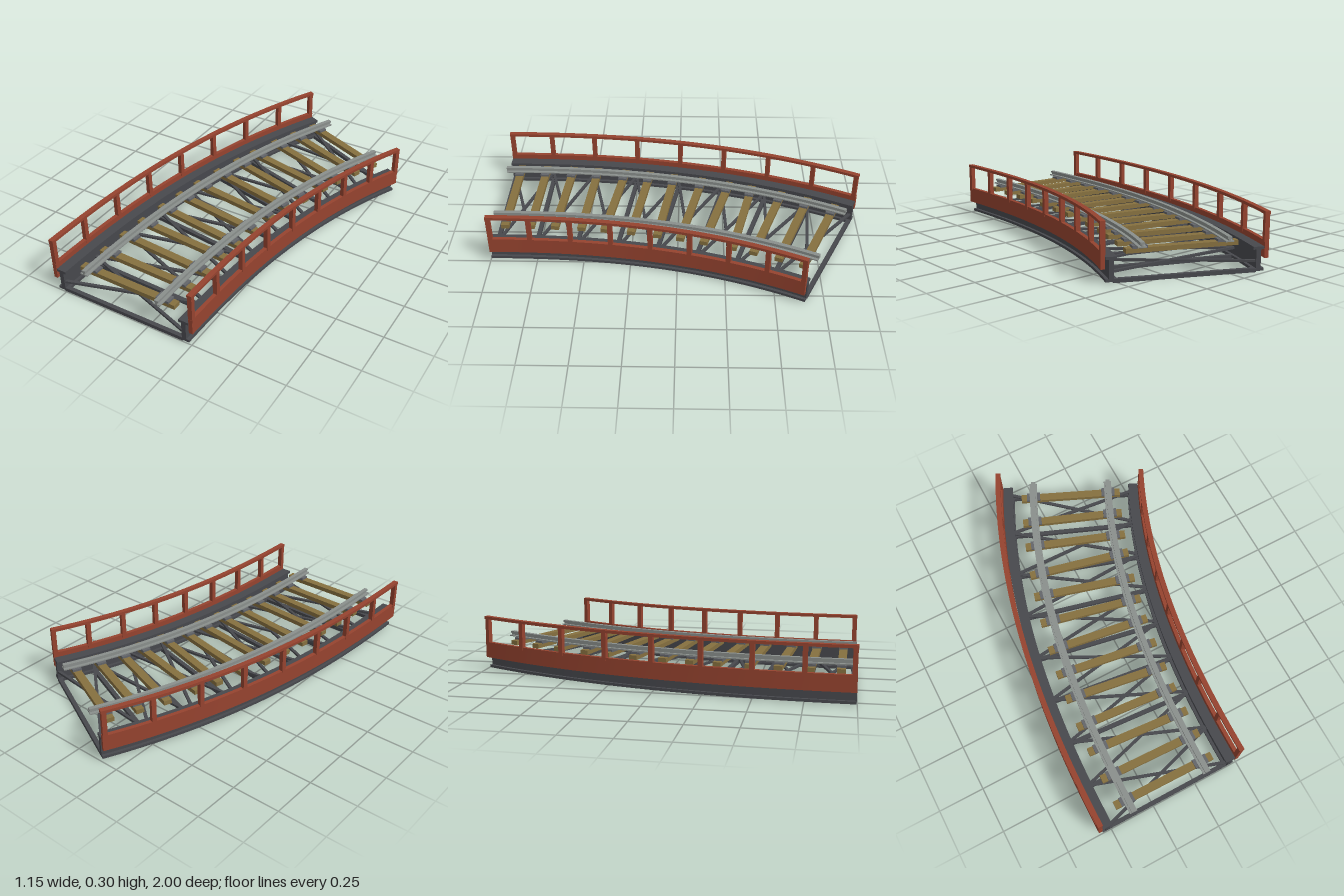
import * as THREE from 'three';
import { toCreasedNormals } from 'three/addons/utils/BufferGeometryUtils.js';

const mat = (name, color) => Object.assign(new THREE.MeshStandardMaterial({ color }), { name });

// Centre line of the track: the heading grows along the length
const LENGTH = 1.868, STEPS = 240;
const heading = s => 0.45 * Math.pow(s, 1.31);
const line = [[-0.157, 0.997]];
for (let i = 0; i < STEPS; i++) {
  const a = heading((i + 0.5) / STEPS), d = LENGTH / STEPS, [x, z] = line[i];
  line.push([x + Math.sin(a) * d, z - Math.cos(a) * d]);
}

// Point at fraction s, sideways offset u and height y
function at(s, u, y) {
  const f = s * STEPS, i = Math.min(STEPS - 1, Math.floor(f)), t = f - i, a = heading(s);
  const x = line[i][0] + (line[i + 1][0] - line[i][0]) * t;
  const z = line[i][1] + (line[i + 1][1] - line[i][1]) * t;
  return new THREE.Vector3(x + u * Math.cos(a), y, z + u * Math.sin(a));
}

// Sweeps a counter-clockwise [u, y] profile along the curve, with end caps
function sweep(profile, offset) {
  const N = 32, out = [];
  const put = (p, s) => out.push(...at(s, p[0] + offset, p[1]).toArray());
  profile.forEach((a, k) => {
    const b = profile[(k + 1) % profile.length];
    for (let i = 0; i < N; i++) {
      const s = i / N, e = (i + 1) / N;
      put(a, s); put(a, e); put(b, e);
      put(a, s); put(b, e); put(b, s);
    }
  });
  const flat = profile.map(p => new THREE.Vector2(...p));
  for (const [i, j, k] of THREE.ShapeUtils.triangulateShape(flat, [])) {
    [i, j, k].forEach(n => put(profile[n], 0));
    [i, k, j].forEach(n => put(profile[n], 1));
  }
  const g = new THREE.BufferGeometry();
  g.setAttribute('position', new THREE.Float32BufferAttribute(out, 3));
  return toCreasedNormals(g, 0.5);
}

const rect = (w, y0, y1) => [[-w / 2, y0], [w / 2, y0], [w / 2, y1], [-w / 2, y1]];

// I-shaped profile: foot, web and head
const iBeam = (foot, web, head, y0, y1, y2, y3) => [
  [-foot, y0], [foot, y0], [foot, y1], [web, y1], [web, y2], [head, y2],
  [head, y3], [-head, y3], [-head, y2], [-web, y2], [-web, y1], [-foot, y1]];

export function createModel() {
  const model = new THREE.Group();
  model.name = 'curvedRailwayBridge';
  const red = mat('redPaint', 0x96432f), iron = mat('darkIron', 0x47484d);
  const steel = mat('railSteel', 0x8a8f8c), wood = mat('timber', 0x86703f);
  const plate = mat('plateGrey', 0x63656a);

  const add = (name, geometry, material, parent = model) => {
    const m = new THREE.Mesh(geometry, material);
    m.name = name;
    parent.add(m);
    return m;
  };
  // Straight level bar between two points
  const bar = (name, p, q, w, h, material) => {
    const m = add(name, new THREE.BoxGeometry(p.distanceTo(q), h, w), material);
    m.position.copy(p).add(q).multiplyScalar(0.5);
    m.rotation.y = -Math.atan2(q.z - p.z, q.x - p.x);
  };

  const BAYS = 8;
  for (const side of [-1, 1]) {
    const label = side < 0 ? 'right' : 'left';
    // Girder, side panel, handrail and running rail
    add(label + 'Girder', sweep(iBeam(0.028, 0.012, 0.027, 0.006, 0.02, 0.112, 0.126), side * 0.362), iron);
    add(label + 'SidePanel', sweep(rect(0.021, 0.068, 0.153), side * 0.402), red);
    add(label + 'Handrail', sweep(rect(0.027, 0.281, 0.296), side * 0.402), red);
    add(label + 'Rail', sweep(iBeam(0.021, 0.005, 0.011, 0.158, 0.164, 0.174, 0.185), side * 0.214), steel);
    // Railing posts
    for (let i = 0; i <= BAYS; i++) {
      const s = THREE.MathUtils.clamp(i / BAYS, 0.007, 0.993);
      const post = add(label + 'Post', new THREE.BoxGeometry(0.024, 0.148, 0.024), red);
      post.position.copy(at(s, side * 0.402, 0.211));
      post.rotation.y = -heading(s);
    }
  }

  // Cross struts and diagonal bracing between the girders
  for (let i = 0; i <= BAYS; i++) {
    const s = THREE.MathUtils.clamp(i / BAYS, 0.006, 0.994), e = Math.min((i + 1) / BAYS, 0.994);
    bar('crossStrut', at(s, -0.352, 0.01), at(s, 0.352, 0.01), 0.022, 0.02, iron);
    if (i === BAYS) break;
    bar('diagonalBrace', at(s, -0.352, 0.055), at(e, 0.352, 0.055), 0.016, 0.012, iron);
    bar('diagonalBrace', at(e, -0.352, 0.055), at(s, 0.352, 0.055), 0.016, 0.011, iron);
  }

  // Sleepers, slightly out of square, with a plate under each rail
  const skew = [0.5, 0.5, 1.5, 0, 2, 0, -2, 0, 1, -4, 0, -1, -1];
  skew.forEach((degrees, i) => {
    const s = (i + 0.5) / skew.length;
    const sleeper = new THREE.Group();
    sleeper.name = 'sleeper';
    sleeper.position.copy(at(s, 0, 0));
    sleeper.rotation.y = -heading(s) - THREE.MathUtils.degToRad(degrees);
    add('sleeperBeam', new THREE.BoxGeometry(0.565, 0.024, 0.042), wood, sleeper).position.y = 0.136;
    for (const side of [-1, 1])
      add('railPlate', new THREE.BoxGeometry(0.075, 0.014, 0.047), plate, sleeper).position.set(side * 0.214, 0.152, 0);
    model.add(sleeper);
  });

  return model;
}
